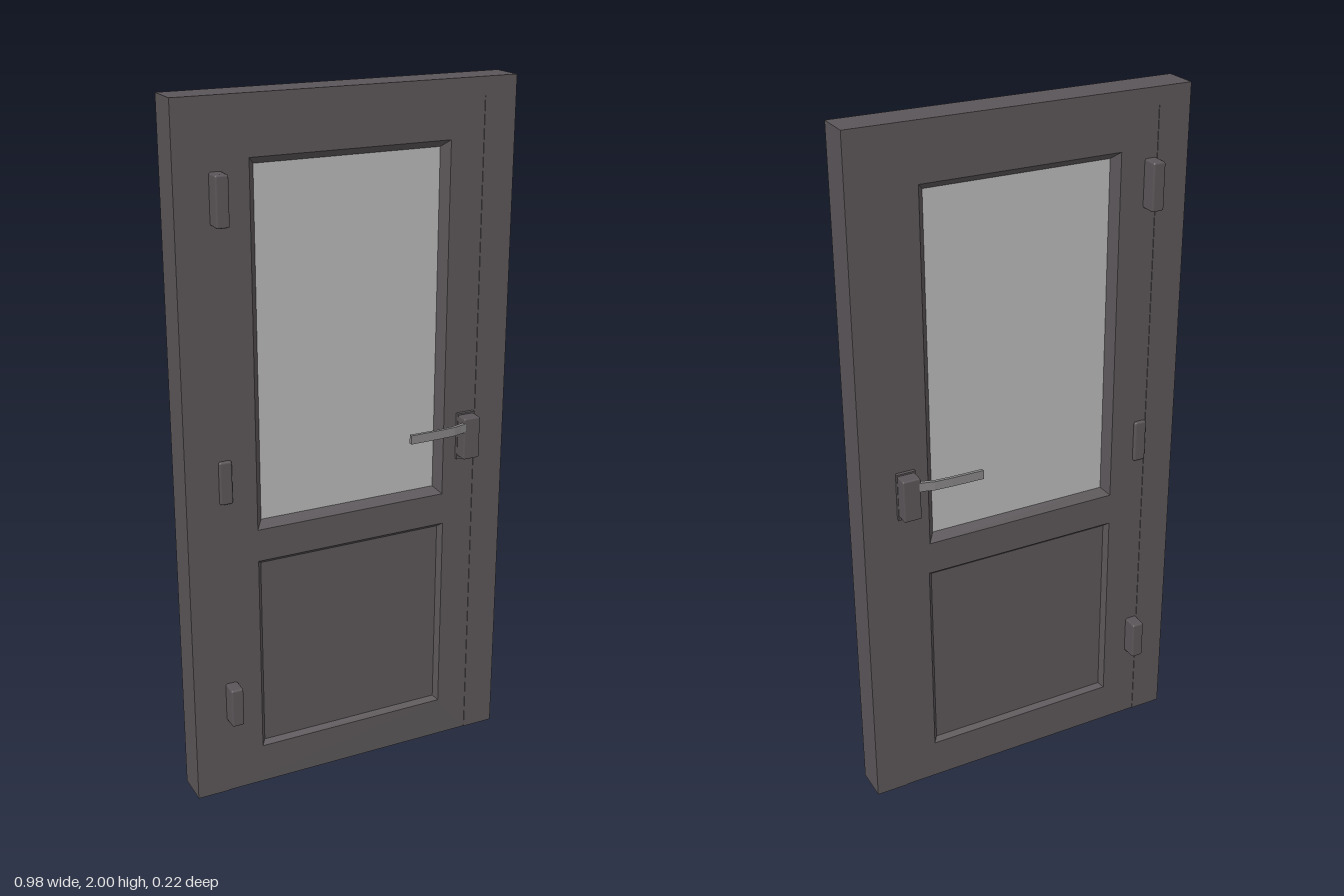
import * as THREE from 'three';
import { RoundedBoxGeometry } from 'three/addons/geometries/RoundedBoxGeometry.js';

const paint = new THREE.MeshStandardMaterial({ color: 0x5a5558 });
paint.name = 'darkPaint';
const pane = new THREE.MeshStandardMaterial({ color: 0xb6b6b6 });
pane.name = 'paleGlass';
const metal = new THREE.MeshStandardMaterial({ color: 0x858384 });
metal.name = 'leverMetal';

// Openings as [left, bottom, right, top]
const WINDOW = [-0.285, 0.815, 0.295, 1.84];
const PANEL = [-0.285, 0.12, 0.3, 0.72];
const FACE = 0.048;

function add(parent, name, geometry, material, x = 0, y = 0, z = 0) {
  const mesh = new THREE.Mesh(geometry, material);
  mesh.name = name;
  mesh.position.set(x, y, z);
  parent.add(mesh);
  return mesh;
}

function corners([l, b, r, t]) {
  return [[l, b], [r, b], [r, t], [l, t]];
}

function outline(points, Type = THREE.Shape) {
  return new Type(points.map(([x, y]) => new THREE.Vector2(x, y)));
}

// Plate centred on z = 0
function slab(shape, depth) {
  const g = new THREE.ExtrudeGeometry(shape, { depth, bevelEnabled: false, curveSegments: 6 });
  return g.translate(0, 0, -depth / 2);
}

// Sloped border running from an opening's rim down to its infill
function slopedBorder(rect, inset, zRim, zInner) {
  const [l, b, r, t] = rect;
  const outer = corners(rect);
  const inner = corners([l + inset, b + inset, r - inset, t - inset]);
  const pos = [];
  for (let i = 0; i < 4; i++) {
    const j = (i + 1) % 4;
    const a = [...outer[i], zRim], c = [...outer[j], zRim];
    const d = [...inner[j], zInner], e = [...inner[i], zInner];
    pos.push(...a, ...c, ...d, ...a, ...d, ...e);
  }
  const g = new THREE.BufferGeometry();
  g.setAttribute('position', new THREE.Float32BufferAttribute(pos, 3));
  g.computeVertexNormals();
  return g;
}

// Bent lever, drawn from above as (x, z) and given a height
function leverGeometry(s) {
  const top = [[0.157, 0.1], [0.25, 0.099], [0.295, 0.096], [0.32, 0.088], [0.345, 0.08]];
  const far = [[0.345, 0.094], [0.325, 0.098], [0.3, 0.105], [0.25, 0.108], [0.157, 0.11]];
  const shape = outline([...top, ...far].map(([x, z]) => [x * s, z]));
  const g = new THREE.ExtrudeGeometry(shape, { depth: 0.026, bevelEnabled: false });
  return g.rotateX(Math.PI / 2);
}

// Trim and hardware of one face; s is 1 for the front, -1 for the back
function doorSide(s) {
  const side = new THREE.Group();
  side.name = s > 0 ? 'frontSide' : 'backSide';
  const flip = ([l, b, r, t]) => (s > 0 ? [l, b, r, t] : [-r, b, -l, t]);

  add(side, 'windowBorder', slopedBorder(flip(WINDOW), 0.02, FACE, 0.024), paint);
  add(side, 'panelBorder', slopedBorder(flip(PANEL), 0.012, FACE, 0.034), paint);

  // Hinges as [middle height, height, outer z]; the middle one is nearly flush
  for (const [y, h, z] of [[1.745, 0.135, 0.094], [0.975, 0.125, 0.058], [0.297, 0.118, 0.094]]) {
    const depth = z - 0.03;
    const r = Math.min(0.006, depth / 4);
    add(side, 'hinge', new RoundedBoxGeometry(0.037, h, depth, 1, r), paint, -0.376 * s, y, z - depth / 2);
  }

  // Handle: backplate, housing and lever
  const handle = new THREE.Group();
  handle.name = 'handle';
  add(handle, 'backplate', new THREE.BoxGeometry(0.054, 0.14, 0.016), paint, 0.362 * s, 0.99, 0.05);
  add(handle, 'housing', new RoundedBoxGeometry(0.052, 0.125, 0.07, 1, 0.005), paint, 0.362 * s, 0.993, 0.06);
  add(handle, 'lever', leverGeometry(s), metal, 0, 1.041, 0);
  side.add(handle);

  if (s < 0) side.rotation.y = Math.PI;
  return side;
}

export function createModel() {
  const door = new THREE.Group();
  door.name = 'door';

  // Surround: two jambs joined by a head rail
  add(door, 'frame', slab(outline([
    [-0.49, 0], [-0.395, 0], [-0.395, 1.95], [0.395, 1.95],
    [0.395, 0], [0.49, 0], [0.49, 2], [-0.49, 2],
  ]), 0.1), paint);

  // Leaf with both openings, set back slightly from the surround
  const leaf = outline(corners([-0.395, 0, 0.395, 1.95]));
  for (const rect of [WINDOW, PANEL]) leaf.holes.push(outline(corners(rect), THREE.Path));
  add(door, 'leaf', slab(leaf, FACE * 2), paint);

  // Infills
  add(door, 'glass', slab(outline(corners(WINDOW)), 0.048), pane);
  add(door, 'lowerPanel', slab(outline(corners(PANEL)), 0.068), paint);

  door.add(doorSide(1), doorSide(-1));
  return door;
}
